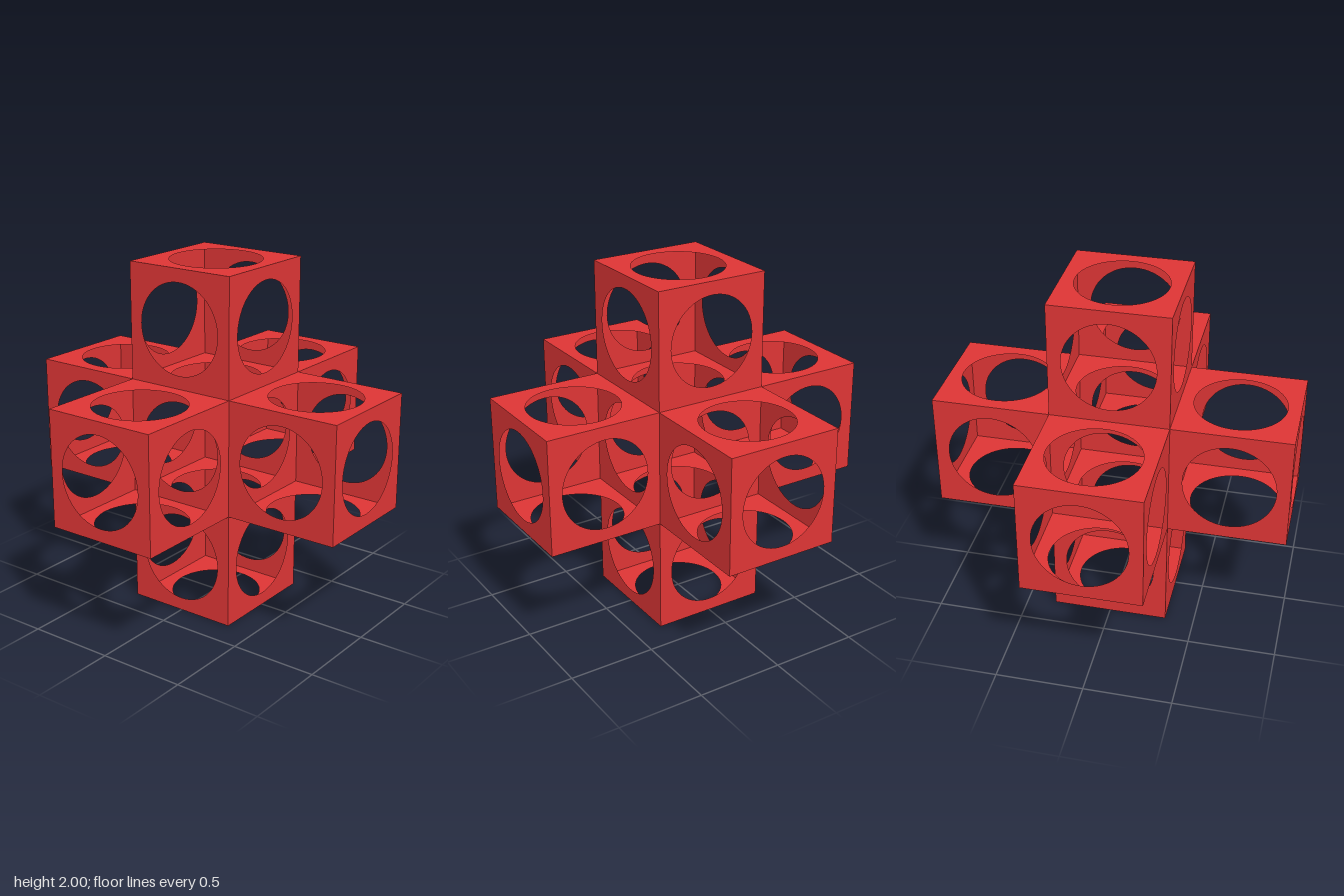
import * as THREE from 'three';

const SIZE = 2 / 3;      // edge of one cube cell
const HOLE = 0.258;      // radius of the round opening in each wall

// Square sheet with a round hole, moved out to the +z side of a cell
function wallGeometry() {
  const h = SIZE / 2;
  const shape = new THREE.Shape([
    new THREE.Vector2(-h, -h), new THREE.Vector2(h, -h),
    new THREE.Vector2(h, h), new THREE.Vector2(-h, h),
  ]);
  const hole = new THREE.Path();
  hole.absarc(0, 0, HOLE, 0, Math.PI * 2, true);
  shape.holes.push(hole);
  return new THREE.ShapeGeometry(shape, 32).translate(0, 0, h);
}

export function createModel() {
  const model = new THREE.Group();
  model.name = 'perforatedCubeCross';
  const material = new THREE.MeshStandardMaterial({ color: 0xdd3535, side: THREE.DoubleSide });
  const wall = wallGeometry();
  const front = new THREE.Vector3(0, 0, 1);

  const directions = {
    left: new THREE.Vector3(1, 0, 0),
    right: new THREE.Vector3(-1, 0, 0),
    top: new THREE.Vector3(0, 1, 0),
    bottom: new THREE.Vector3(0, -1, 0),
    front: new THREE.Vector3(0, 0, 1),
    back: new THREE.Vector3(0, 0, -1),
  };

  // Hollow cell with a pierced wall on every side except the skipped one
  function addCell(name, position, skip) {
    const cell = new THREE.Group();
    cell.name = name;
    cell.position.copy(position);
    for (const [side, dir] of Object.entries(directions)) {
      if (skip && dir.dot(skip) > 0.5) continue;
      const mesh = new THREE.Mesh(wall, material);
      mesh.name = side + 'Wall';
      if (side === 'back') mesh.rotation.y = Math.PI;
      else mesh.quaternion.setFromUnitVectors(front, dir);
      cell.add(mesh);
    }
    model.add(cell);
  }

  // Central cell, then six arms that share its walls
  const centre = new THREE.Vector3(0, 1, 0);
  addCell('centreCube', centre);
  for (const [side, dir] of Object.entries(directions)) {
    addCell(side + 'Cube', centre.clone().addScaledVector(dir, SIZE), dir.clone().negate());
  }
  return model;
}
